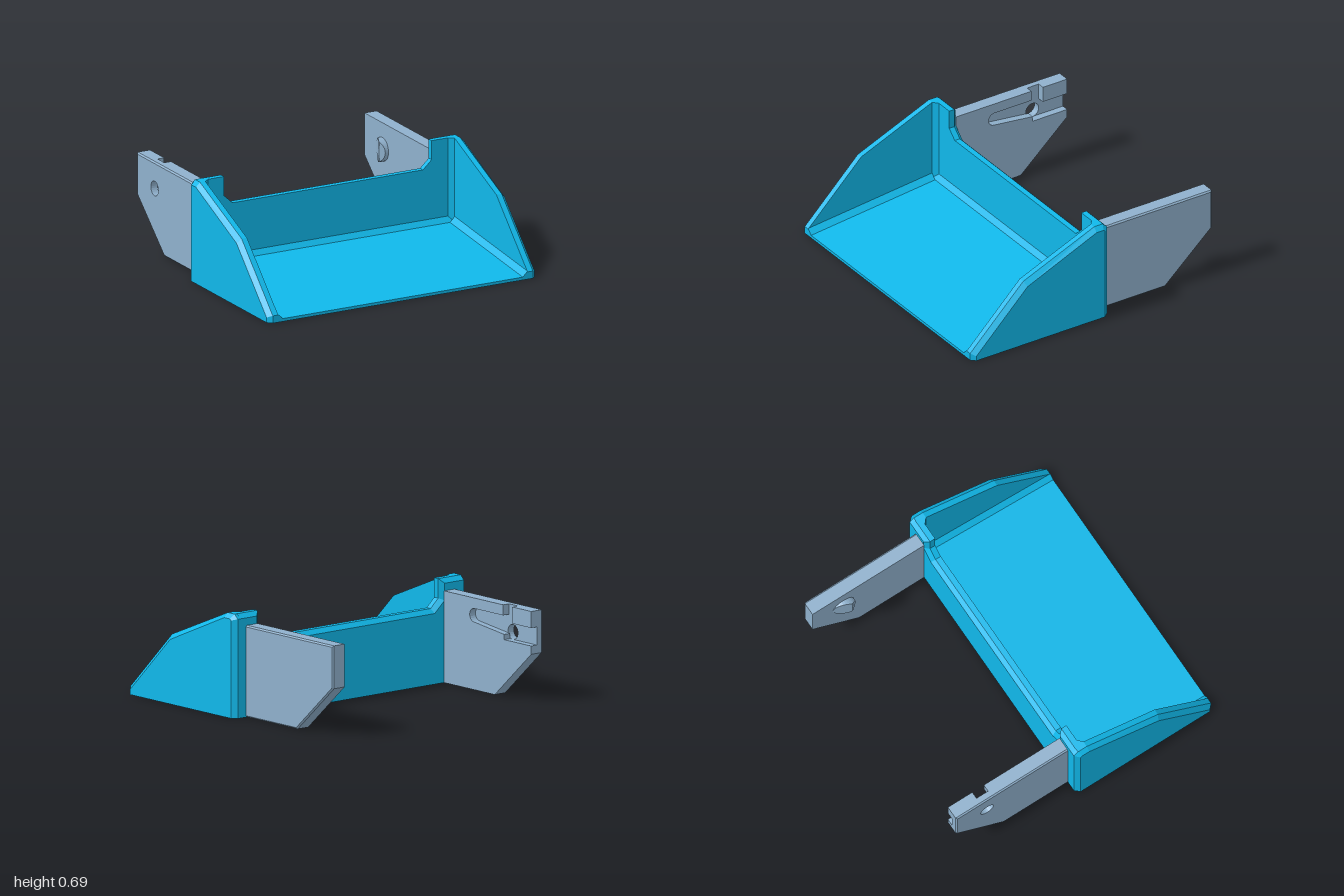
import * as THREE from 'three';

// How section coordinates (u, v) and depth d map to space, by loft axis
const MAP = {
  x: (u, v, d) => [d, v, -u],
  y: (u, v, d) => [v, d, u],
  z: (u, v, d) => [u, v, d],
};

// Solid through matching cross-sections [depth, points], with an optional straight hole.
// Points are [z, y] for axis x, [z, x] for axis y and [x, y] for axis z.
function loft(axis, sections, hole = []) {
  const flat = (pts) => pts.map(([a, b]) => new THREE.Vector2(axis === 'x' ? -a : a, b));
  const wind = (pts, ccw) => (THREE.ShapeUtils.area(pts) > 0) === ccw ? pts : pts.reverse();
  const layers = sections
    .map(([d, pts]) => ({ d, outer: wind(flat(pts), true), inner: wind(flat(hole), false) }))
    .sort((a, b) => a.d - b.d);
  const pos = [];
  const put = (p, d) => pos.push(...MAP[axis](p.x, p.y, d));

  for (let i = 0; i + 1 < layers.length; i++) {
    const A = layers[i], B = layers[i + 1];
    for (const key of ['outer', 'inner']) {
      const n = A[key].length;
      for (let j = 0; j < n; j++) {
        const k = (j + 1) % n;
        put(A[key][j], A.d); put(A[key][k], A.d); put(B[key][k], B.d);
        put(A[key][j], A.d); put(B[key][k], B.d); put(B[key][j], B.d);
      }
    }
  }
  [layers[0], layers[layers.length - 1]].forEach((L, end) => {
    const all = [...L.outer, ...L.inner];
    for (const f of THREE.ShapeUtils.triangulateShape(L.outer, hole.length ? [L.inner] : [])) {
      for (const i of end ? f : [f[0], f[2], f[1]]) put(all[i], L.d);
    }
  });
  const g = new THREE.BufferGeometry();
  g.setAttribute('position', new THREE.Float32BufferAttribute(pos, 3));
  g.computeVertexNormals();
  return g;
}

function arc(cz, cy, r, from, to, n) {
  return Array.from({ length: n + 1 }, (_, i) => {
    const a = from + ((to - from) * i) / n;
    return [cz + r * Math.cos(a), cy + r * Math.sin(a)];
  });
}

export function createModel() {
  const blue = new THREE.MeshStandardMaterial({ color: 0x10b8ea, flatShading: true });
  const steel = new THREE.MeshStandardMaterial({ color: 0x8fb0cc, flatShading: true });
  const model = new THREE.Group();
  model.name = 'loaderBucket';
  const bucket = new THREE.Group();
  bucket.name = 'bucket';
  model.add(bucket);
  const add = (parent, name, geometry, material) => {
    const m = new THREE.Mesh(geometry, material);
    m.name = name;
    parent.add(m);
  };

  // Floor: a thin wedge rising to the back, with a sloped strip at the back wall
  const floor = [[0.97, 0], [0.97, 0.02], [0, 0.12], [-0.03, 0.155], [-0.05, 0.155], [-0.05, 0]];
  add(bucket, 'floor', loft('x', [[-0.94, floor], [0.94, floor]]), blue);

  // Back wall: lowered in the middle, chamfered along its rear rim
  const mirror = (half) => [...half, ...half.map(([x, y]) => [-x, y]).reverse()];
  const wall = mirror([[0.95, 0], [0.95, 0.69], [0.775, 0.69], [0.775, 0.56], [0.71, 0.5]]);
  const wallRear = mirror([[0.95, 0], [0.95, 0.66], [0.805, 0.66], [0.805, 0.547], [0.72, 0.47]]);
  add(bucket, 'backWall', loft('z', [[-0.1, wallRear], [-0.07, wall], [-0.03, wall]]), blue);

  // Side walls with chamfered outer edges, and fillets in the inner corners
  const side = [[0.97, 0], [0.97, 0.05], [0.555, 0.46], [0, 0.69], [-0.068, 0.69], [-0.1, 0.66], [-0.1, 0]];
  const sideOuter = [[0.94, 0], [0.94, 0.035], [0.54, 0.43], [0, 0.66], [-0.055, 0.66], [-0.067, 0.65], [-0.067, 0]];
  for (const s of [1, -1]) {
    const label = s > 0 ? 'left' : 'right';
    add(bucket, label + 'SideWall', loft('x', [[s * 0.93, side], [s * 0.97, side], [s, sideOuter]]), blue);
    const post = [[0, s * 0.93], [-0.03, s * 0.895], [-0.03, s * 0.93]];
    add(bucket, label + 'CornerFillet', loft('y', [[0, post], [0.69, post]]), blue);
    const strip = (y) => [[s * 0.93, y + 0.035], [s * 0.895, y], [s * 0.93, y]];
    add(bucket, label + 'FloorFillet', loft('z', [[0, strip(0.12)], [0.97, strip(0.02)]]), blue);
  }

  // Mounting arms: plates with a small chamfer on the outer face
  const plate = [[-0.1, 0], [-0.606, 0], [-0.97, 0.325], [-0.97, 0.61], [-0.1, 0.61]];
  const plateOuter = [[-0.1, 0.01], [-0.602, 0.01], [-0.96, 0.33], [-0.96, 0.6], [-0.1, 0.6]];

  const leftArm = new THREE.Group();
  leftArm.name = 'leftArm';
  add(leftArm, 'leftPlate', loft('x', [[0.8, plate], [0.89, plate], [0.9, plateOuter]]), steel);

  // Ramped catch: a round peg whose end rises to a ridge and falls again
  const peg = new THREE.CylinderGeometry(0.08, 0.08, 1, 32);
  peg.rotateZ(Math.PI / 2);
  const p = peg.attributes.position;
  for (let i = 0; i < p.count; i++) {
    if (p.getX(i) > 0) {
      p.setX(i, 0.81);
      continue;
    }
    if (Math.hypot(p.getY(i), p.getZ(i)) < 0.01) p.setZ(i, 0.04);
    const z = p.getZ(i);
    const rise = z < 0.04 ? (0.05 * (z + 0.08)) / 0.12 : 0.05 - (z - 0.04) * 0.65;
    p.setX(i, 0.8 - rise);
  }
  peg.translate(0, 0.43, -0.73);
  peg.computeVertexNormals();
  add(leftArm, 'catchPeg', peg, steel);
  model.add(leftArm);

  // Right arm: pierced outer half, inner half cut by a slot, a top notch and an end channel
  const rightArm = new THREE.Group();
  rightArm.name = 'rightArm';
  const hole = arc(-0.73, 0.43, 0.05, 0, Math.PI * 2, 24).slice(0, 24);
  add(rightArm, 'piercedPlate', loft('x', [[-0.85, plate], [-0.89, plate], [-0.9, plateOuter]], hole), steel);
  const slotted = [
    [-0.1, 0], [-0.606, 0], [-0.97, 0.325], [-0.97, 0.38], [-0.7, 0.38], [-0.7, 0.415],
    ...arc(-0.4, 0.495, 0.045, -Math.PI / 2, Math.PI / 2, 10),
    [-0.69, 0.54], [-0.69, 0.61], [-0.1, 0.61],
  ];
  add(rightArm, 'slottedPlate', loft('x', [[-0.85, slotted], [-0.8, slotted]]), steel);
  const block = [[-0.97, 0.5], [-0.78, 0.5], [-0.78, 0.61], [-0.97, 0.61]];
  add(rightArm, 'channelBlock', loft('x', [[-0.85, block], [-0.8, block]]), steel);
  model.add(rightArm);

  return model;
}
